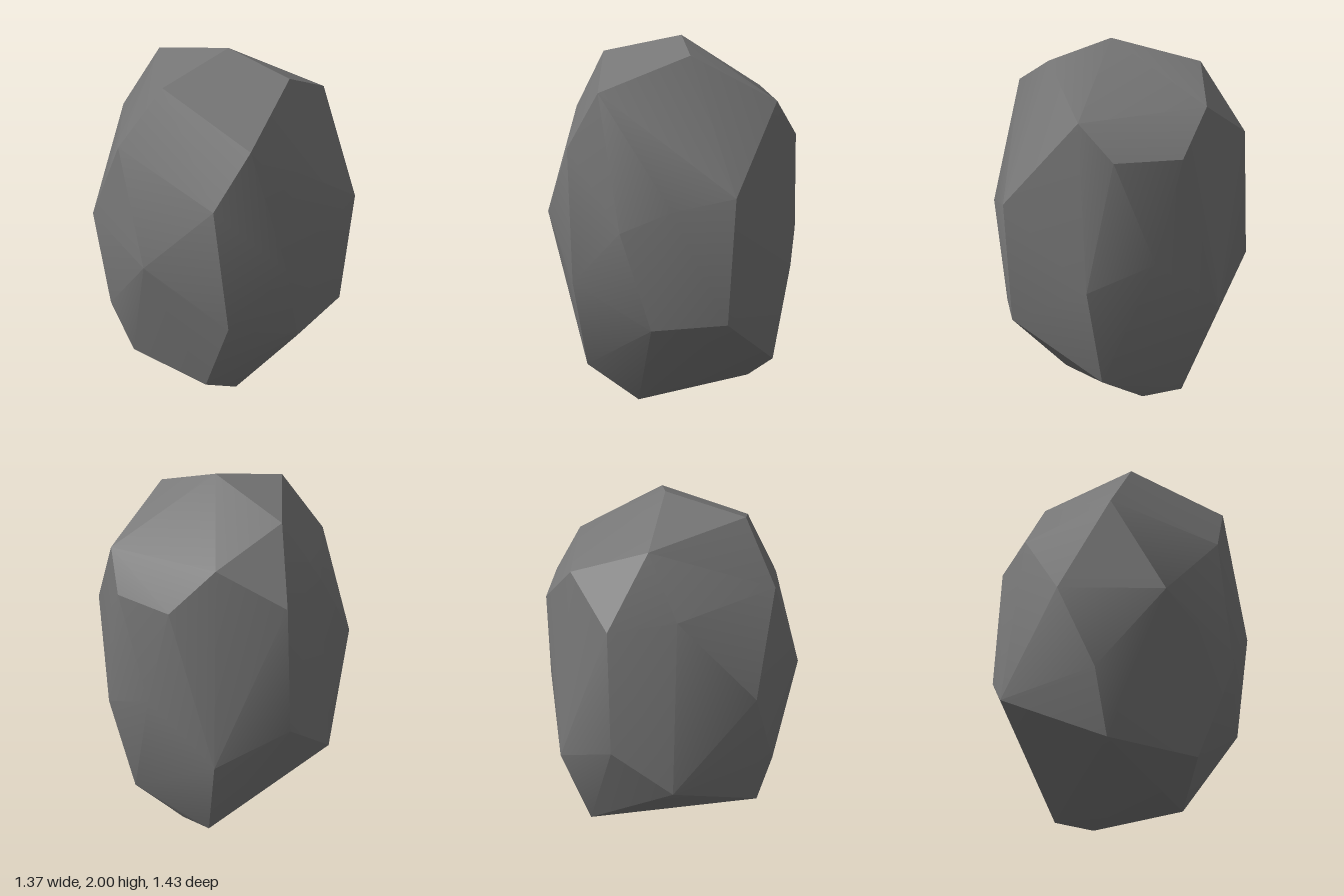
import * as THREE from 'three';
import { ConvexGeometry } from 'three/addons/geometries/ConvexGeometry.js';
import { toCreasedNormals } from 'three/addons/utils/BufferGeometryUtils.js';

// corners of the boulder, from the crown down to the base
const corners = [
  // crown
  [0.03, 2.0, 0.04], [-0.41, 1.91, 0.11], [0.21, 1.9, 0.345], [-0.12, 1.86, -0.43],
  // shoulder
  [0.61, 1.66, 0.11], [-0.2, 1.71, 0.61], [-0.4, 1.41, 0.58], [-0.63, 1.59, 0.02],
  [0.295, 1.7, -0.51], [-0.02, 1.5, -0.69], [-0.32, 1.54, -0.5],
  [0.655, 1.47, -0.08], [0.515, 1.47, -0.415],
  // waist
  [0.24, 1.12, 0.66], [-0.03, 1.0, 0.715], [0.54, 1.19, 0.53], [-0.665, 1.02, 0.315],
  [-0.665, 1.06, -0.255], [-0.04, 0.8, -0.715], [0.68, 0.77, 0.06], [0.59, 0.92, -0.29],
  // lower belt
  [0.49, 0.52, 0.51], [0.11, 0.48, 0.635], [-0.345, 0.7, 0.64], [-0.685, 0.59, -0.05],
  [0.35, 0.61, -0.6], [-0.35, 0.57, -0.6],
  // base
  [-0.365, 0.2, 0.44], [-0.58, 0.25, 0.0], [0.565, 0.22, 0.0],
  [-0.1, 0.0, 0.34], [0.35, 0.05, -0.19], [0.29, 0.085, -0.4],
];

export function createModel() {
  const group = new THREE.Group();
  group.name = 'rock';

  const stone = new THREE.MeshStandardMaterial({ color: 0x777777 });
  stone.name = 'stone grey';

  // faceted hull, with only the shallow edges softened
  const hull = new ConvexGeometry(corners.map((c) => new THREE.Vector3(...c)));
  const boulder = new THREE.Mesh(toCreasedNormals(hull, 0.45), stone);
  boulder.name = 'boulder';
  group.add(boulder);

  return group;
}
